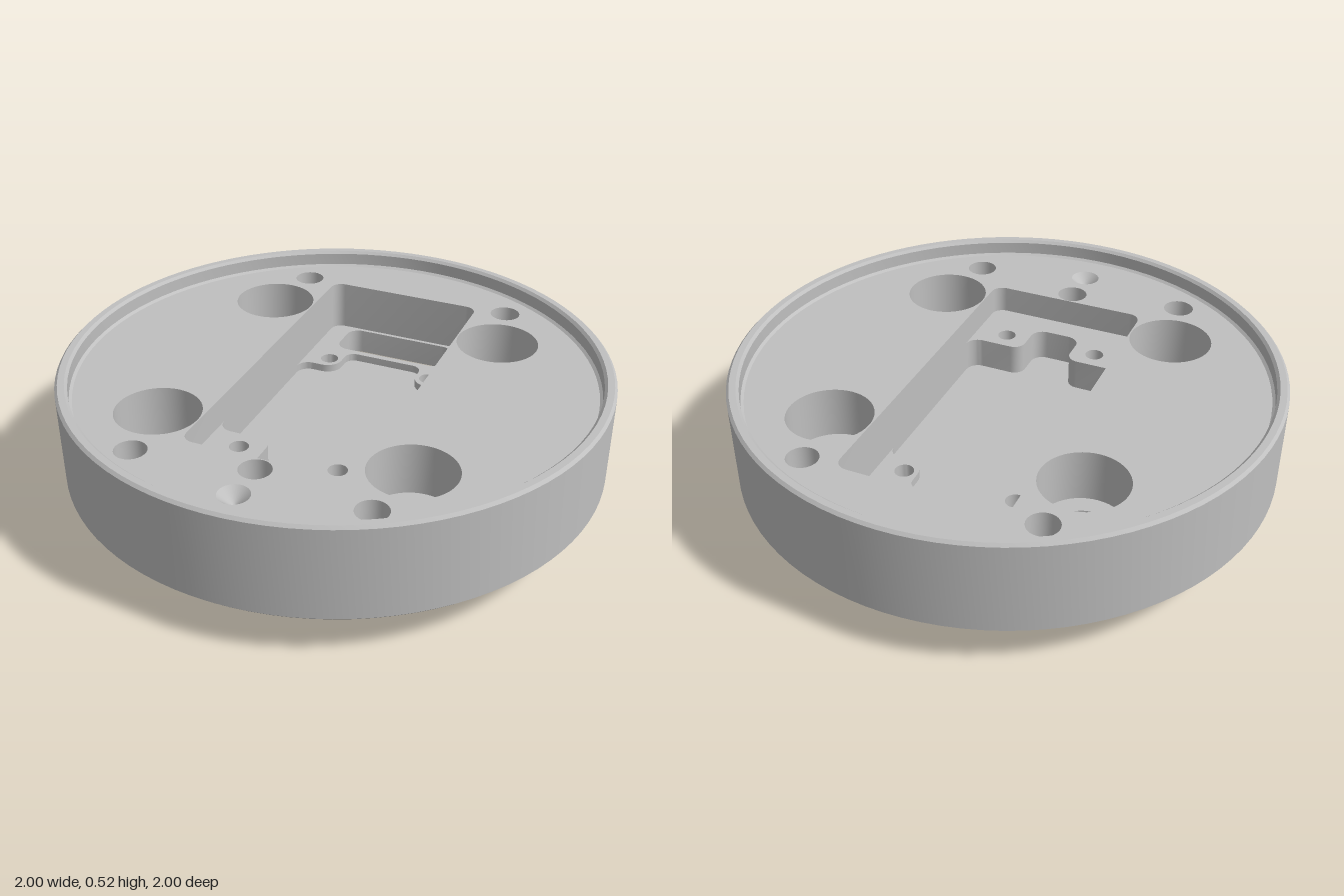
import * as THREE from 'three';
import { toCreasedNormals } from 'three/addons/utils/BufferGeometryUtils.js';

// Heights of the horizontal surfaces
const BASE = 0.16, FLOOR = 0.23, REAR = 0.26, SEAT = 0.26, FRONT = 0.35, DECK = 0.455, TOP = 0.52;

// Outlines are lists of Vector2 holding (x, z)
function circle(x, z, r, n = 32) {
  return Array.from({ length: n }, (_, i) => {
    const a = (i / n) * Math.PI * 2;
    return new THREE.Vector2(x + r * Math.cos(a), z + r * Math.sin(a));
  });
}

// Polygon with rounded corners; each corner is [x, z, radius]
function rounded(corners, steps = 8) {
  const pts = [];
  const add = (p) => {
    if (!pts.length || pts[pts.length - 1].distanceTo(p) > 1e-5) pts.push(p);
  };
  corners.forEach(([x, z, r], i) => {
    const p = new THREE.Vector2(x, z);
    if (!r) return add(p);
    const toward = (c, d) => new THREE.Vector2(c[0] - x, c[1] - z).setLength(d).add(p);
    const prev = corners[(i + corners.length - 1) % corners.length];
    const next = corners[(i + 1) % corners.length];
    const k = r * 0.448;
    new THREE.CubicBezierCurve(toward(prev, r), toward(prev, k), toward(next, k), toward(next, r))
      .getPoints(steps).forEach(add);
  });
  if (pts[0].distanceTo(pts[pts.length - 1]) < 1e-5) pts.pop();
  return pts;
}

const rectangle = (x, z0, z1, r) => rounded([[-x, z0, r], [x, z0, r], [x, z1, r], [-x, z1, r]]);

// Horizontal face with holes, looking up or down
function face(outline, holes, y, up = true) {
  const map = (pts) => pts.map((p) => new THREE.Vector2(p.x, up ? -p.y : p.y));
  const shape = new THREE.Shape(map(outline));
  shape.holes = holes.map((h) => new THREE.Path(map(h)));
  return new THREE.ShapeGeometry(shape).rotateX(up ? -Math.PI / 2 : Math.PI / 2).translate(0, y, 0);
}

// Vertical wall around an opening, facing into it; top may depend on z
function wall(outline, y0, top) {
  const pts = THREE.ShapeUtils.isClockWise(outline) ? [...outline].reverse() : outline;
  const pos = [];
  pts.forEach((a, i) => {
    const b = pts[(i + 1) % pts.length];
    const y1 = typeof top === 'function' ? top((a.y + b.y) / 2) : top;
    pos.push(a.x, y0, a.y, b.x, y0, b.y, b.x, y1, b.y);
    pos.push(a.x, y0, a.y, b.x, y1, b.y, a.x, y1, a.y);
  });
  const g = new THREE.BufferGeometry();
  g.setAttribute('position', new THREE.Float32BufferAttribute(pos, 3));
  return toCreasedNormals(g, 0.6);
}

function lathe(profile, n = 96) {
  return toCreasedNormals(new THREE.LatheGeometry(profile.map((p) => new THREE.Vector2(...p)), n), 0.5);
}

export function createModel() {
  const group = new THREE.Group();
  const metal = new THREE.MeshStandardMaterial({ color: 0xbfbfbf });
  metal.name = 'plain grey';
  const add = (name, geometry) => {
    const mesh = new THREE.Mesh(geometry, metal);
    mesh.name = name;
    group.add(mesh);
    return mesh;
  };

  // Opening outlines
  const corners = [[-1, -1], [1, -1], [1, 1], [-1, 1]];
  const bores = corners.map(([x, z]) => circle(x * 0.47, z * 0.47, 0.088));
  const counterbores = corners.map(([x, z]) => circle(x * 0.47, z * 0.47, 0.155, 48));
  const outerHoles = corners.map(([x, z]) => circle(x * 0.428, z * 0.72, 0.057));
  const rearPins = [-1, 1].map((s) => circle(s * 0.212, -0.43, 0.035, 24));
  const frontPins = [-1, 1].map((s) => circle(s * 0.186, 0.42, 0.035, 24));
  const centreHole = circle(0, 0.66, 0.057);
  const centreCounterbore = circle(0, 0.66, 0.08);
  const slot = rectangle(0.228, -0.705, -0.53, 0.05);
  const pocket = rectangle(0.31, -0.72, 0.6, 0.045);

  // Steps shared by the shelves and the deep pocket, running from +x to -x and back
  const rearStep = [[0.31, -0.37, 0.05], [0.16, -0.37, 0.06], [0.16, -0.505, 0.04],
    [-0.16, -0.505, 0.04], [-0.16, -0.37, 0.06], [-0.31, -0.37, 0.05]];
  const frontStep = [[-0.31, 0.345, 0.05], [-0.095, 0.345, 0.045], [-0.095, 0.505, 0.05],
    [0.095, 0.505, 0.05], [0.095, 0.345, 0.045], [0.31, 0.345, 0.05]];
  const deepPocket = rounded([...rearStep, ...frontStep]);
  const rearOutline = rounded([[-0.31, -0.72, 0.045], [0.31, -0.72, 0.045], [0.31, -0.32, 0],
    ...rearStep, [-0.31, -0.32, 0]]);
  const frontOutline = rounded([[0.31, 0.6, 0.045], [-0.31, 0.6, 0.045], [-0.31, 0.295, 0],
    ...frontStep, [0.31, 0.295, 0]]);

  // Outer ring with chamfered edges, and the round boss below
  add('outerRim', lathe([[0.99, BASE], [1, BASE + 0.01], [1, TOP - 0.01], [0.99, TOP], [0.966, TOP],
    [0.956, TOP - 0.01], [0.956, DECK + 0.008], [0.946, DECK]]));
  add('boss', lathe([[0, 0], [0.408, 0], [0.42, 0.012], [0.42, BASE]]));

  // Large flat faces
  add('deck', face(circle(0, 0, 0.946, 96),
    [pocket, ...counterbores, ...outerHoles, centreHole, circle(0, 0.81, 0.055)], DECK));
  add('underside', face(circle(0, 0, 0.99, 96), [circle(0, 0, 0.42, 96), ...bores, ...outerHoles,
    ...rearPins, ...frontPins, centreCounterbore, slot], BASE, false));

  // Stepped pocket
  add('pocketWall', wall(pocket, FLOOR, DECK));
  add('pocketFloor', face(deepPocket, [], FLOOR));
  add('pocketStep', wall(deepPocket, FLOOR, (z) => (z < 0 ? REAR : FRONT)));
  add('rearShelf', face(rearOutline, [slot, ...rearPins], REAR));
  add('frontShelf', face(frontOutline, frontPins, FRONT));
  add('slotWall', wall(slot, BASE, REAR));
  rearPins.forEach((h) => add('rearPinHole', wall(h, BASE, REAR)));
  frontPins.forEach((h) => add('frontPinHole', wall(h, BASE, FRONT)));

  // Counterbored and plain through holes
  bores.forEach((bore, i) => {
    add('boreWall', wall(bore, BASE, SEAT));
    add('boreSeat', face(counterbores[i], [bore], SEAT));
    add('counterboreWall', wall(counterbores[i], SEAT, DECK));
  });
  outerHoles.forEach((h) => add('outerHole', wall(h, BASE, DECK)));

  // Centre hole, counterbored from below, and the conical dimple
  add('centreCounterbore', wall(centreCounterbore, BASE, 0.21));
  add('centreSeat', face(centreCounterbore, [centreHole], 0.21, false));
  add('centreHole', wall(centreHole, 0.21, DECK));
  add('dimple', lathe([[0.055, DECK], [0, DECK - 0.05]], 32)).position.z = 0.81;

  return group;
}
